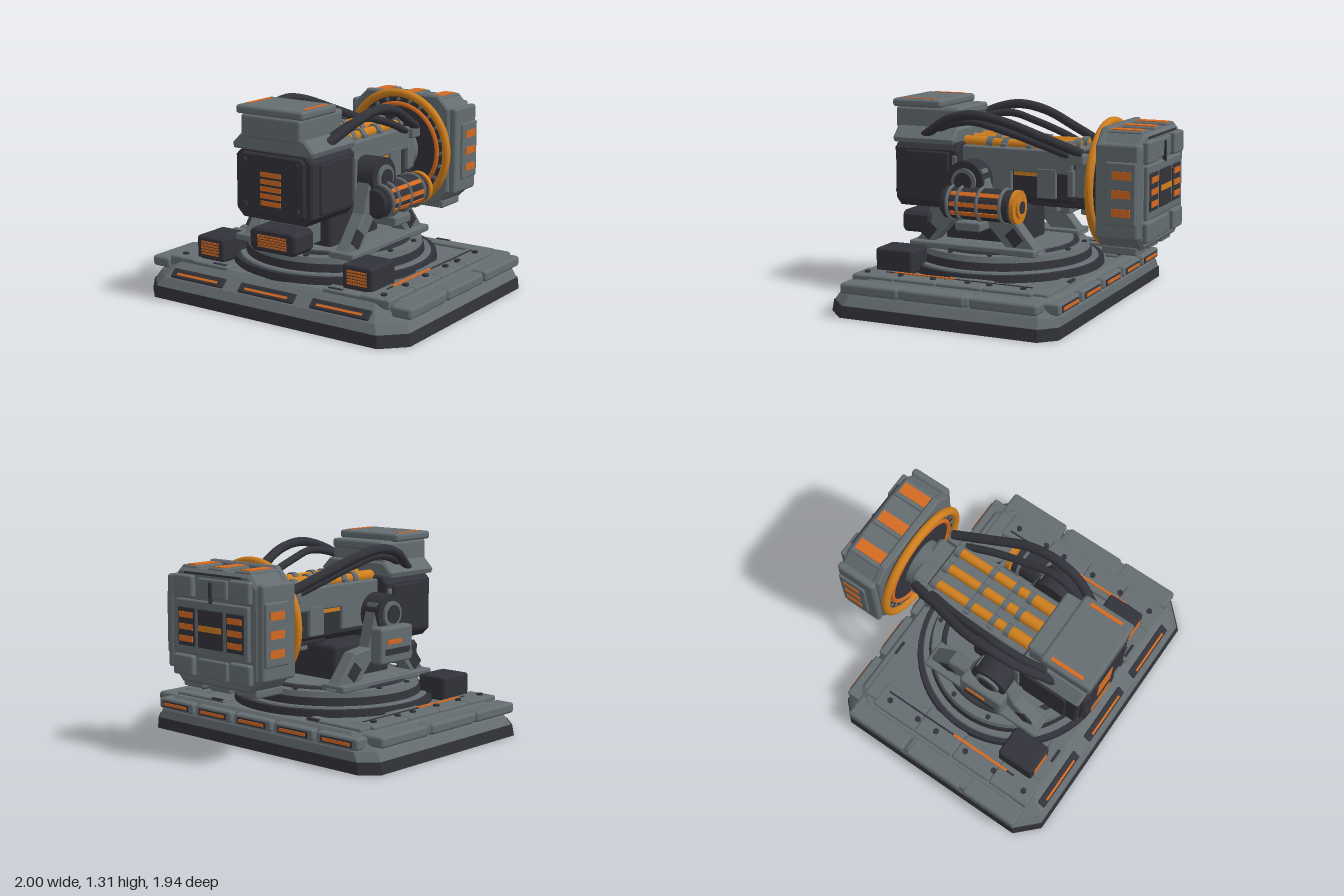
import * as THREE from 'three';
import { RoundedBoxGeometry } from 'three/addons/geometries/RoundedBoxGeometry.js';
import { ConvexGeometry } from 'three/addons/geometries/ConvexGeometry.js';

const mat = (name, color) => Object.assign(new THREE.MeshStandardMaterial({ color }), { name });

export function createModel() {
  const root = new THREE.Group();
  root.name = 'swivelMachine';
  const grey = mat('steelGrey', 0x656d71), dark = mat('charcoal', 0x32323a);
  const orange = mat('orange', 0xd46a22), gold = mat('amber', 0xcf7f1e);

  const add = (name, geo, m, parent = root) => {
    const mesh = new THREE.Mesh(geo, m);
    mesh.name = name;
    parent.add(mesh);
    return mesh;
  };
  // Softened box given by its min/max on each axis
  const box = (name, m, x0, x1, y0, y1, z0, z1, r = 0.012, parent = root) => {
    const w = x1 - x0, h = y1 - y0, d = z1 - z0;
    const geo = r ? new RoundedBoxGeometry(w, h, d, 2, Math.min(r, w / 2.1, h / 2.1, d / 2.1)) : new THREE.BoxGeometry(w, h, d);
    const mesh = add(name, geo, m, parent);
    mesh.position.set((x0 + x1) / 2, (y0 + y1) / 2, (z0 + z1) / 2);
    return mesh;
  };
  // The same box on both sides
  const pair = (name, m, x0, x1, ...rest) => {
    box(name + 'Left', m, x0, x1, ...rest);
    box(name + 'Right', m, -x1, -x0, ...rest);
  };
  const cyl = (name, m, r, len, axis, x, y, z, seg = 32, r2 = r) => {
    const geo = new THREE.CylinderGeometry(r, r2, len, seg);
    if (axis === 'x') geo.rotateZ(-Math.PI / 2);
    if (axis === 'z') geo.rotateX(Math.PI / 2);
    const mesh = add(name, geo, m);
    mesh.position.set(x, y, z);
    return mesh;
  };
  const ring = (name, m, r, t, x, y, z, sides = 10) => add(name, new THREE.TorusGeometry(r, t, sides, 56), m).position.set(x, y, z);
  const shape = pts => new THREE.Shape(pts.map(p => new THREE.Vector2(...p)));
  // Bevelled prism along z
  const prism = (name, m, pts, z0, z1, b = 0.012) => add(name, new THREE.ExtrudeGeometry(shape(pts), {
    depth: z1 - z0 - 2 * b, bevelSize: b, bevelThickness: b, bevelOffset: -b, bevelSegments: 1 }), m).position.z = z0 + b;
  const octagon = (w, y0, y1, c) => [[-w + c, y0], [w - c, y0], [w, y0 + c], [w, y1 - c], [w - c, y1], [-w + c, y1], [-w, y1 - c], [-w, y0 + c]];

  // --- Base: stacked chamfered outlines ---
  const plan = (y, hx, zf, zb, cf = 0.14, cb = 0.1) => [[hx - cf, zf], [hx, zf - cf], [hx, zb + cb], [hx - cb, zb]]
    .flatMap(([x, z]) => [new THREE.Vector3(x, y, z), new THREE.Vector3(-x, y, z)]);
  add('baseSkirt', new ConvexGeometry([...plan(0, 1, 0.975, -0.62), ...plan(0.075, 0.99, 0.965, -0.62)]), dark);
  add('baseDeck', new ConvexGeometry([...plan(0.075, 0.985, 0.96, -0.615), ...plan(0.13, 0.955, 0.93, -0.61),
    ...plan(0.21, 0.9, 0.845, -0.56), ...plan(0.23, 0.87, 0.82, -0.54)]), grey);
  for (const x of [-0.55, 0, 0.55]) {
    const slot = new THREE.Group();
    slot.name = 'frontSlot';
    slot.position.set(x, 0.16, 0.897);
    slot.rotation.x = -Math.atan2(0.085, 0.08);
    root.add(slot);
    box('slotFrame', dark, -0.215, 0.215, -0.035, 0.035, -0.01, 0.012, 0.01, slot);
    box('slotLight', orange, -0.165, 0.165, -0.016, 0.0, 0.01, 0.016, 0, slot);
  }
  // Armour plates along the sides
  [[0.55, 0.81], [0.25, 0.51], [-0.06, 0.21], [-0.4, -0.1]].forEach(([z0, z1], i) => {
    pair('edgePlate', grey, 0.84, 0.985, 0.155, 0.222, z0, z1, 0.02);
    pair('deckPlate', grey, i % 2 ? 0.67 : 0.64, 0.85, 0.19, 0.252, z0 - 0.02, z1 + 0.02, 0.014);
  });
  pair('cornerPlate', grey, 0.86, 1, 0.155, 0.225, 0.42, 0.83, 0.02);
  pair('middlePlate', grey, 0.85, 1, 0.155, 0.225, -0.04, 0.39, 0.02);
  pair('backSidePlate', grey, 0.83, 1, 0.155, 0.225, -0.52, -0.07, 0.02);
  pair('rearDeckPlate', grey, 0.37, 0.82, 0.2, 0.248, -0.51, -0.41);
  pair('frontDeckPlate', grey, 0.37, 0.66, 0.2, 0.245, 0.72, 0.83);
  pair('deckGroove', dark, 0.715, 0.727, 0.24, 0.256, -0.37, 0.65, 0);
  pair('deckLight', orange, 0.712, 0.73, 0.25, 0.26, 0.16, 0.59, 0);
  pair('rearVent', dark, 0.38, 0.48, 0.24, 0.252, -0.51, -0.49, 0);
  pair('frontVent', dark, 0.4, 0.5, 0.24, 0.25, 0.79, 0.81, 0);
  for (const s of [-1, 1]) for (const z of [-0.33, -0.1, 0.05, 0.29, 0.52, 0.76]) cyl('deckBolt', dark, 0.021, 0.02, 'y', s * 0.77, 0.254, z, 6);
  // Lit plates along the back edge
  for (let i = -2; i <= 2; i++) {
    const x = i * 0.36;
    box('backPlate', grey, x - 0.165, x + 0.165, 0.14, 0.212, -0.615, -0.5, 0.016);
    box('backSlot', dark, x - 0.125, x + 0.125, 0.155, 0.195, -0.62, -0.61, 0);
    box('backLight', orange, x - 0.11, x + 0.11, 0.165, 0.185, -0.626, -0.619, 0);
  }

  // --- Turntable ---
  [[0.67, 0.2, 0.275, dark], [0.63, 0.27, 0.285, grey], [0.585, 0.28, 0.335, dark], [0.57, 0.335, 0.372, grey], [0.5, 0.37, 0.385, dark]]
    .forEach(([r, y0, y1, m], i) => cyl('turntable' + i, m, r - 0.01, y1 - y0, 'y', 0, (y0 + y1) / 2, 0.16, 64, r));
  cyl('turntableFloor', grey, 0.46, 0.02, 'y', 0, 0.382, 0.16, 64);
  for (let i = 0; i < 12; i++) {
    const a = (i + 0.5) * Math.PI / 6;
    cyl('tableBolt', dark, 0.018, 0.016, 'y', 0.535 * Math.cos(a), 0.376, 0.16 + 0.535 * Math.sin(a), 6);
  }
  // Lamp boxes with slatted fronts
  const slats = (x, w, y0, y1, z, n) => {
    const p = (y1 - y0) / n;
    for (let i = 0; i < n; i++) box('lampSlat', orange, x - w, x + w, y0 + i * p, y0 + i * p + p * 0.66, z, z + 0.007, 0);
  };
  pair('lampBox', dark, 0.46, 0.68, 0.235, 0.395, 0.49, 0.755, 0.02);
  for (const x of [-0.57, 0.57]) slats(x, 0.07, 0.275, 0.37, 0.753, 5);
  prism('chinLamp', dark, octagon(0.175, 0.4, 0.545, 0.025), 0.64, 0.84);
  slats(0, 0.11, 0.432, 0.515, 0.838, 5);
  box('chinMount', grey, -0.13, 0.13, 0.42, 0.62, 0.5, 0.66);
  box('pedestal', dark, -0.2, 0.2, 0.37, 0.62, -0.05, 0.5, 0.03);

  // --- Trunnion frames ---
  const frame = shape([[0.63, 0.38], [0.43, 0.62], [0.37, 0.8], [0.34, 0.9], [0.13, 0.9], [0.1, 0.8], [0.05, 0.62], [-0.09, 0.6], [-0.27, 0.38]]);
  frame.holes.push(new THREE.Path([[0.46, 0.42], [-0.03, 0.42], [0.1, 0.56], [0.33, 0.56]].map(p => new THREE.Vector2(...p))));
  const frameGeo = new THREE.ExtrudeGeometry(frame, { depth: 0.08, bevelSize: 0.01, bevelThickness: 0.01, bevelOffset: -0.01, bevelSegments: 1 });
  frameGeo.translate(0, 0, -0.04).rotateY(-Math.PI / 2);
  for (const s of [-1, 1]) {
    add('trunnionFrame', frameGeo, grey).position.x = s * 0.36;
    cyl('trunnionHub', dark, 0.13, 0.15, 'x', s * 0.355, 0.82, 0.24);
    cyl('hubCap', grey, 0.085, 0.03, 'x', s * 0.432, 0.82, 0.24);
    cyl('hubCore', dark, 0.06, 0.03, 'x', s * 0.44, 0.82, 0.24);
    for (const [z, a] of [[0.51, 0.88], [-0.1, -0.85]]) {
      const plate = box('legPad', dark, s * 0.41 - 0.008, s * 0.41 + 0.008, -0.04, 0.04, -0.05, 0.05, 0);
      plate.position.y = 0.48;
      plate.position.z = z;
      plate.rotation.x = a;
    }
  }
  pair('frameFoot', grey, 0.27, 0.46, 0.37, 0.415, -0.26, 0.63);
  // Right side control box
  box('controlBox', grey, -0.5, -0.4, 0.51, 0.75, 0.06, 0.38, 0.02);
  box('controlLight', orange, -0.507, -0.498, 0.64, 0.67, 0.12, 0.26, 0);
  box('controlSlot', dark, -0.506, -0.498, 0.57, 0.61, 0.1, 0.34, 0);

  // --- Left side canister ---
  const cx = 0.44, cy = 0.685;
  cyl('canister', dark, 0.104, 0.46, 'z', cx, cy, 0.12);
  cyl('canisterFront', dark, 0.08, 0.03, 'z', cx, cy, 0.36, 32, 0.1);
  cyl('canisterCap', gold, 0.108, 0.03, 'z', cx, cy, -0.14);
  cyl('canisterNozzle', gold, 0.07, 0.02, 'z', cx, cy, -0.16);
  cyl('canisterBore', dark, 0.04, 0.01, 'z', cx, cy, -0.168);
  for (const z of [0.31, 0.24, 0.1, -0.06]) ring('canisterBand', grey, 0.106, 0.012, cx, cy, z, 6);
  for (const a of [-0.5, 0.08, 0.75]) {
    const strip = box('canisterStrip', orange, -0.008, 0.008, -0.014, 0.014, -0.07, 0.29, 0);
    strip.position.set(cx + 0.102 * Math.cos(a), cy + 0.102 * Math.sin(a), 0.11);
    strip.rotation.z = a;
  }
  box('canisterBracket', grey, 0.36, 0.53, 0.52, 0.58, 0.08, 0.26);

  // --- Front housing ---
  prism('housing', dark, octagon(0.29, 0.6, 1.04, 0.05), 0.36, 0.82);
  prism('facePlate', dark, octagon(0.25, 0.63, 1.02, 0.03), 0.81, 0.845);
  slats(0, 0.078, 0.7, 0.925, 0.843, 5);
  for (const x of [-0.2, 0.2]) for (const y of [0.69, 0.97]) cyl('faceBolt', dark, 0.022, 0.02, 'z', x, y, 0.85, 8);
  pair('sidePanel', dark, 0.28, 0.305, 0.66, 0.98, 0.42, 0.74);
  pair('panelRib', grey, 0.29, 0.311, 0.68, 0.96, 0.36, 0.39, 0.005);
  prism('shoulder', grey, [[-0.3, 1.03], [0.3, 1.03], [0.31, 1.06], [0.24, 1.13], [-0.24, 1.13], [-0.31, 1.06]], 0.38, 0.83);
  box('topBox', grey, -0.225, 0.225, 1.11, 1.255, 0.4, 0.85, 0.02);
  box('topLid', grey, -0.255, 0.255, 1.255, 1.31, 0.5, 0.86, 0.02);
  box('topLidRear', grey, -0.22, 0.22, 1.2, 1.262, 0.385, 0.52, 0.02);
  pair('lidLight', orange, 0.2, 0.225, 1.305, 1.314, 0.56, 0.79, 0);

  // --- Barrel body ---
  prism('barrelCore', dark, octagon(0.19, 0.66, 1.0, 0.04), -0.42, 0.38);
  box('barrelTop', grey, -0.21, 0.21, 0.87, 1.02, -0.41, 0.38);
  box('barrelKeel', dark, -0.17, 0.17, 0.65, 0.73, -0.51, -0.1);
  [[-0.24, -0.18], [-0.42, -0.38], [-0.3, -0.17]].forEach(([z0, z1], i) =>
    pair('barrelRib', grey, 0.17, 0.215, i === 2 ? 0.71 : 0.73, 0.9, z0, z1, 0.006));
  pair('barrelSide', grey, 0.17, 0.21, 0.72, 0.9, 0.01, 0.37);
  pair('barrelTrim', gold, 0.188, 0.196, 0.845, 0.87, -0.17, 0, 0);
  for (const z of [-0.23, -0.32, -0.46]) box('keelPad', grey, -0.1, 0.1, 0.6, 0.66, z - 0.035, z + 0.035);
  cyl('neck', grey, 0.16, 0.24, 'z', 0, 0.82, -0.52);
  box('neckCollar', grey, -0.17, 0.17, 0.7, 0.975, -0.55, -0.4, 0.03);
  // Amber rods on top, held by clamps
  for (const x of [-0.13, 0, 0.13]) {
    cyl('rod', gold, 0.032, 0.78, 'z', x, 1.035, 0, 20);
    cyl('rodSleeve', gold, 0.04, 0.17, 'z', x, 1.035, 0.29, 20);
    for (const z of [-0.37, -0.1, 0.08, 0.19]) cyl('rodClamp', grey, 0.043, 0.04, 'z', x, 1.035, z, 20);
  }
  for (const z of [-0.1, 0.08]) box('clampBar', grey, -0.19, 0.19, 1.01, 1.045, z - 0.02, z + 0.02, 0.008);
  // Hoses arching over each side
  for (const s of [-1, 1]) {
    [[[0.24, 1.05, 0.66], [0.28, 1.11, 0.56], [0.34, 1.2, 0.4], [0.36, 1.24, 0.22], [0.35, 1.21, 0.02], [0.28, 1.11, -0.24], [0.21, 1.01, -0.48]],
      [[0.22, 1.08, 0.6], [0.27, 1.16, 0.42], [0.29, 1.185, 0.24], [0.27, 1.14, 0.05], [0.24, 1.07, -0.17], [0.19, 0.99, -0.38]]]
      .forEach((pts, i) => add('hose', new THREE.TubeGeometry(new THREE.CatmullRomCurve3(
        pts.map(([x, y, z]) => new THREE.Vector3(s * x, y, z))), 48, i ? 0.025 : 0.031, 12), dark));
    box('hoseSocket', grey, s * 0.2 - 0.04, s * 0.2 + 0.04, 0.94, 1.01, -0.5, -0.4);
  }

  // --- Rear head ---
  const hy = 0.815;
  ring('headRing', gold, 0.387, 0.028, 0, hy, -0.595, 14);
  cyl('headFlange', dark, 0.37, 0.04, 'z', 0, hy, -0.62, 56);
  ring('innerRing', orange, 0.31, 0.016, 0, hy, -0.6);
  for (let i = 0; i < 24; i++) cyl('flangeBolt', grey, 0.014, 0.02, 'z', 0.343 * Math.cos(i * Math.PI / 12), hy + 0.343 * Math.sin(i * Math.PI / 12), -0.6, 6);
  prism('headFront', grey, octagon(0.375, 0.45, 1.2, 0.09), -0.69, -0.635);
  prism('headBody', grey, octagon(0.385, 0.45, 1.17, 0.08), -0.93, -0.66, 0.02);
  pair('headSide', grey, 0.37, 0.425, 0.53, 1.12, -0.93, -0.65, 0.02);
  pair('headSidePlate', grey, 0.41, 0.44, 0.62, 1.01, -0.92, -0.72);
  for (const y of [0.7, 0.815, 0.93]) pair('sideLight', orange, 0.437, 0.445, y - 0.025, y + 0.025, -0.885, -0.765, 0);
  for (const x of [-0.235, 0, 0.235]) {
    box('headTopPad', grey, x - 0.07, x + 0.07, 1.15, 1.185, -0.91, -0.67);
    box('headTopLight', orange, x - 0.04, x + 0.04, 1.182, 1.19, -0.89, -0.69, 0);
    box('headBottomPad', grey, x - 0.09, x + 0.09, 0.415, 0.47, -0.89, -0.66);
  }
  // Back panel with light bars
  pair('backCorner', grey, 0.16, 0.34, 0.99, 1.13, -0.965, -0.91, 0.015);
  pair('backCornerLow', grey, 0.16, 0.34, 0.5, 0.63, -0.965, -0.91, 0.015);
  box('backFrame', grey, -0.32, 0.32, 0.64, 0.98, -0.955, -0.91);
  box('backTop', grey, -0.13, 0.13, 1.0, 1.12, -0.95, -0.91);
  box('backLow', grey, -0.13, 0.13, 0.5, 0.62, -0.95, -0.91);
  box('backGroove', dark, -0.25, 0.25, 1.138, 1.15, -0.94, -0.92, 0);
  box('backNotch', dark, -0.01, 0.01, 0.97, 1.1, -0.962, -0.94, 0);
  box('backCentre', dark, -0.11, 0.11, 0.69, 0.93, -0.963, -0.94, 0.008);
  box('centreBar', gold, -0.1, 0.1, 0.795, 0.83, -0.969, -0.96, 0);
  pair('lightPanel', dark, 0.14, 0.29, 0.69, 0.93, -0.961, -0.94, 0.006);
  for (const y of [0.735, 0.81, 0.885]) pair('backBar', orange, 0.155, 0.275, y - 0.018, y + 0.018, -0.967, -0.96, 0);
  return root;
}
